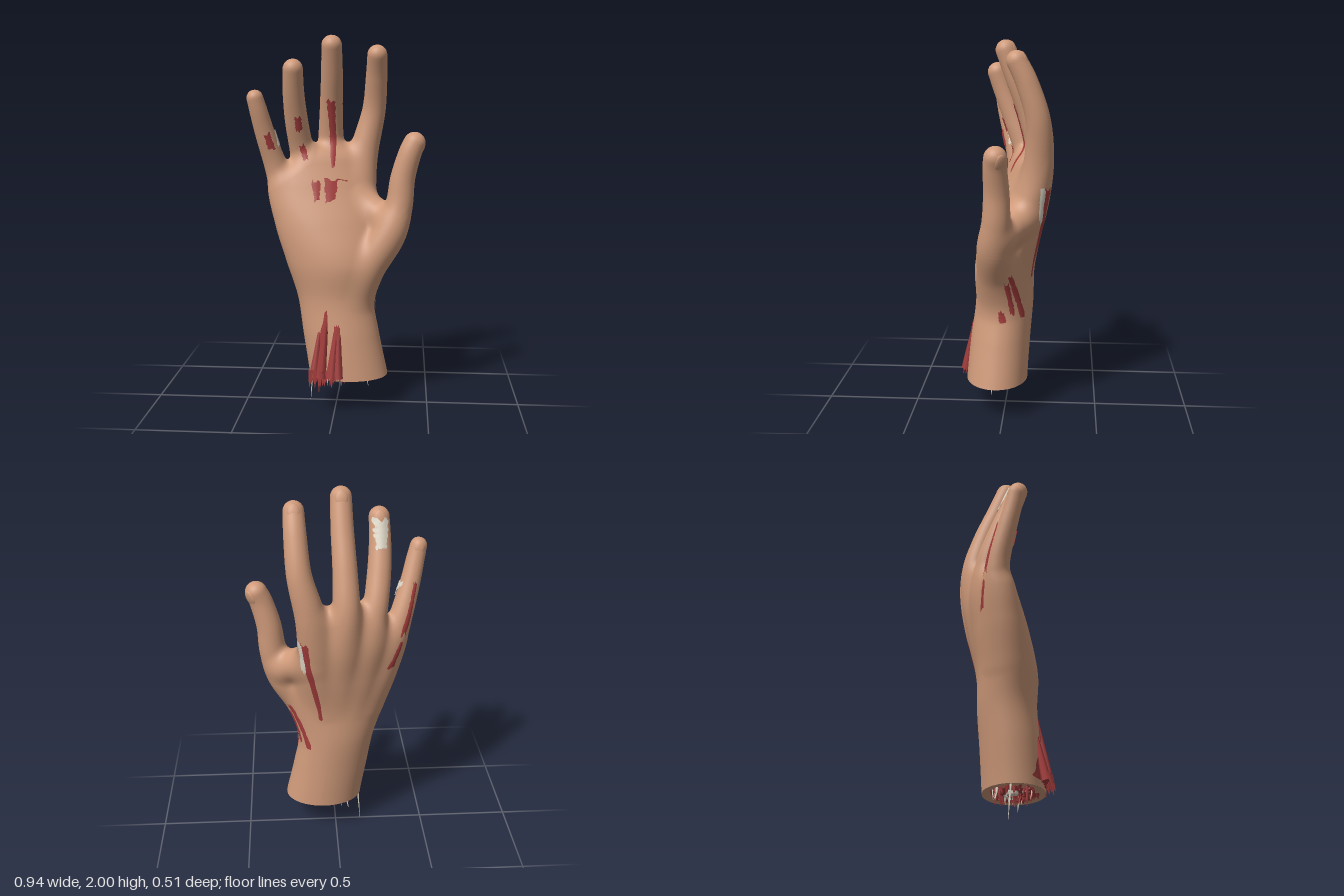
import * as THREE from 'three';
import { mergeGeometries } from 'three/addons/utils/BufferGeometryUtils.js';

const skin = new THREE.MeshStandardMaterial({ color: 0xcf9a7a });
skin.name = 'skin';
const flesh = new THREE.MeshStandardMaterial({ color: 0xa33d3c, side: THREE.DoubleSide });
flesh.name = 'flesh';
const bone = new THREE.MeshStandardMaterial({ color: 0xddd6c6, side: THREE.DoubleSide });
bone.name = 'bone';

const CUT = 0.18; // height of the severed wrist

let seed = 7;
const rand = () => (seed = (seed * 16807) % 2147483647) / 2147483647;
const V = (x, y, z) => new THREE.Vector3(x, y, z);

// Catmull-Rom interpolation of table rows
function spline(rows, t) {
  const n = rows.length - 1;
  const i = Math.max(0, Math.min(n - 1, Math.floor(t)));
  const u = Math.max(0, Math.min(1, t - i));
  const a = rows[Math.max(i - 1, 0)], b = rows[i], c = rows[i + 1], d = rows[Math.min(i + 2, n)];
  return b.map((v, k) => v + 0.5 * u * (c[k] - a[k] + u * (2 * a[k] - 5 * v + 4 * c[k] - d[k]
    + u * (3 * (v - c[k]) + d[k] - a[k]))));
}

// Wrist and palm sections every 0.2 in y: centre x, centre z, radius x, radius z, slant
const PALM = [
  [0.10, 0.05, 0.222, 0.168, 0], [0.065, 0.04, 0.213, 0.165, 0],
  [0.027, 0.025, 0.207, 0.162, 0], [-0.005, 0.005, 0.207, 0.157, 0],
  [-0.02, 0.005, 0.255, 0.162, 0], [-0.055, -0.035, 0.28, 0.15, -0.1],
  [-0.085, -0.085, 0.28, 0.117, -0.2], [-0.06, -0.125, 0.23, 0.075, -0.27],
];

// Digits from the palm outwards: x, y, z, radius
const DIGITS = {
  thumb: [[0.09, 0.6, 0.02, 0.1], [0.175, 0.78, 0.04, 0.096], [0.28, 0.95, 0.038, 0.092], [0.333, 1.1, 0.025, 0.074],
    [0.352, 1.25, 0.022, 0.066], [0.387, 1.38, 0.026, 0.061], [0.412, 1.44, 0.022, 0.058]],
  index: [[0.05, 0.8, -0.05, 0.08], [0.085, 1.0, -0.103, 0.086], [0.11, 1.2, -0.153, 0.086], [0.143, 1.4, -0.183, 0.077],
    [0.19, 1.6, -0.178, 0.064], [0.205, 1.78, -0.125, 0.058], [0.21, 1.897, -0.07, 0.053]],
  middle: [[0, 0.8, -0.05, 0.08], [-0.02, 1.0, -0.1, 0.085], [-0.035, 1.2, -0.152, 0.086], [-0.045, 1.4, -0.175, 0.072],
    [-0.04, 1.6, -0.13, 0.063], [-0.03, 1.8, -0.055, 0.058], [-0.027, 1.945, 0, 0.054]],
  ring: [[-0.08, 0.8, -0.04, 0.08], [-0.12, 1.0, -0.08, 0.08], [-0.165, 1.2, -0.108, 0.08], [-0.198, 1.38, -0.1, 0.066],
    [-0.22, 1.55, -0.043, 0.062], [-0.228, 1.7, 0.015, 0.057], [-0.225, 1.823, 0.06, 0.053]],
  little: [[-0.16, 0.8, -0.02, 0.08], [-0.235, 1.0, -0.04, 0.08], [-0.297, 1.18, -0.055, 0.072], [-0.34, 1.32, -0.048, 0.061],
    [-0.385, 1.48, -0.008, 0.053], [-0.413, 1.6, 0.024, 0.048], [-0.43, 1.672, 0.04, 0.044]],
};
const WEB = [[0.27, 1.02, -0.005, 0.08], [0.12, 1.1, -0.1, 0.09]];
const CHAINS = [...Object.values(DIGITS), WEB].map((rows) => {
  const n = (rows.length - 1) * 9;
  return Array.from({ length: n + 1 }, (_, i) => spline(rows, i / 9));
});

// Minimum with a rounded transition of width k
function softMin(a, b, k) {
  const h = Math.max(k - Math.abs(a - b), 0) / k;
  return Math.min(a, b) - h * h * k / 4;
}

function palmField(x, y, z) {
  const [cx, cz, rx, rz, slant] = spline(PALM, y / 0.2);
  const px = x - cx, pz = z - cz - slant * px;
  const k0 = Math.hypot(px / rx, pz / rz);
  const k1 = Math.hypot(px / rx ** 2, pz / rz ** 2) + 1e-6;
  const top = y - 1.42 - 0.7 * Math.min(0, x + 0.13);
  return -softMin(-k0 * (k0 - 1) / k1, -top, 0.1);
}

function chainField(chain, x, y, z) {
  let best = 9;
  for (let i = 0; i < chain.length - 1; i++) {
    const a = chain[i], b = chain[i + 1];
    const dx = b[0] - a[0], dy = b[1] - a[1], dz = b[2] - a[2];
    const qx = x - a[0], qy = y - a[1], qz = z - a[2];
    const h = Math.max(0, Math.min(1, (qx * dx + qy * dy + qz * dz) / (dx * dx + dy * dy + dz * dz)));
    const d = Math.sqrt((qx - h * dx) ** 2 + (qy - h * dy) ** 2 + (qz - h * dz) ** 2);
    best = Math.min(best, d - a[3] - h * (b[3] - a[3]));
  }
  return best;
}

// Signed distance to the skin: palm and digits softly joined
const field = (x, y, z) =>
  CHAINS.reduce((d, chain) => softMin(d, chainField(chain, x, y, z), 0.045), palmField(x, y, z));

function normalAt(p, e = 0.01) {
  return V(field(p.x + e, p.y, p.z) - field(p.x - e, p.y, p.z),
    field(p.x, p.y + e, p.z) - field(p.x, p.y - e, p.z),
    field(p.x, p.y, p.z + e) - field(p.x, p.y, p.z - e)).normalize();
}
const settle = (p) => p.addScaledVector(normalAt(p), -field(p.x, p.y, p.z));

function grid(positions, normals, index) {
  const g = new THREE.BufferGeometry();
  g.setAttribute('position', new THREE.Float32BufferAttribute(positions, 3));
  g.setIndex(index);
  if (normals) g.setAttribute('normal', new THREE.Float32BufferAttribute(normals, 3));
  else g.computeVertexNormals();
  return g;
}

// Meshes the zero level of the field on a regular grid, left open at the wrist
function skinGeometry() {
  const s = 0.0125, o = [-0.5, CUT, -0.31], n = [81, 150, 50];
  const step = [1, n[0], n[0] * n[1]];
  const val = new Float32Array(n[0] * n[1] * n[2]);
  const each = (m, fn) => {
    for (let k = 0; k < n[2] - m; k++) for (let j = 0; j < n[1] - m; j++) for (let i = 0; i < n[0] - m; i++)
      fn([i, j, k], i + j * step[1] + k * step[2]);
  };
  each(0, ([i, j, k], id) => { val[id] = field(o[0] + i * s, o[1] + j * s, o[2] + k * s); });
  const vertex = new Int32Array(val.length).fill(-1), pos = [], nor = [], index = [];
  each(1, (c, id) => {
    const sum = [0, 0, 0];
    let hits = 0;
    for (let q = 0; q < 8; q++) for (let a = 0; a < 3; a++) {
      if (q >> a & 1) continue;
      const off = [q & 1, q >> 1 & 1, q >> 2 & 1];
      const from = id + off[0] + off[1] * step[1] + off[2] * step[2];
      const v0 = val[from], v1 = val[from + step[a]];
      if ((v0 < 0) === (v1 < 0)) continue;
      off[a] = v0 / (v0 - v1);
      off.forEach((v, m) => { sum[m] += v; });
      hits++;
    }
    if (!hits) return;
    const p = settle(V(...sum.map((v, m) => o[m] + (c[m] + v / hits) * s)));
    if (c[1] === 0) p.y = CUT;
    vertex[id] = pos.length / 3;
    pos.push(...p);
    nor.push(...normalAt(p));
  });
  each(1, (c, id) => {
    for (let a = 0; a < 3; a++) {
      const b = (a + 1) % 3, d = (a + 2) % 3;
      if (!c[b] || !c[d] || (val[id] < 0) === (val[id + step[a]] < 0)) continue;
      const q = [id, id - step[b], id - step[b] - step[d], id - step[d]].map((v) => vertex[v]);
      if (val[id] >= 0) q.reverse();
      index.push(q[0], q[1], q[2], q[0], q[2], q[3]);
    }
  });
  return grid(pos, nor, index);
}

// Nearest skin point along a ray
function castOnSkin(p, dir) {
  const best = p.clone();
  let least = 9;
  for (let m = 0; m < 60 && least > 0.003; m++) {
    const f = field(p.x, p.y, p.z);
    if (f < least) { least = f; best.copy(p); }
    p.addScaledVector(dir, f * 0.6);
  }
  for (let m = 0; m < 4; m++) settle(best);
  return best;
}

// Thin ragged strip laid on the skin, seen from an angle about y; ends are [across, height]
function strip(angle, a, b, w0, w1 = w0) {
  const dir = V(-Math.sin(angle), 0, -Math.cos(angle)), right = V(Math.cos(angle), 0, -Math.sin(angle));
  const rows = 16, cols = 4, pos = [], index = [];
  for (let i = 0; i <= rows; i++) {
    const t = i / rows, w = (w0 + (w1 - w0) * t) * (0.8 + 0.35 * rand());
    for (let j = 0; j <= cols; j++) {
      const u = j / cols - 0.5, fray = (i === 0 || i === rows) ? (rand() - 0.5) * 0.03 : 0;
      const start = right.clone().multiplyScalar(a[0] + (b[0] - a[0]) * t + u * w).addScaledVector(dir, -0.6);
      start.y = a[1] + (b[1] - a[1]) * t + fray;
      const p = castOnSkin(start, dir);
      pos.push(...p.addScaledVector(normalAt(p), 0.004 + 0.004 * (0.5 - Math.abs(u))));
      if (i < rows && j < cols) {
        const q = i * (cols + 1) + j, r = q + cols + 1;
        index.push(q, r, q + 1, q + 1, r, r + 1);
      }
    }
  }
  return grid(pos, null, index);
}

// Tapered strand between two points
function strand(a, b, ra, rb, sides = 6) {
  const d = b.clone().sub(a), g = new THREE.CylinderGeometry(rb, ra, d.length(), sides);
  g.applyQuaternion(new THREE.Quaternion().setFromUnitVectors(V(0, 1, 0), d.clone().normalize()));
  const m = a.clone().add(b).multiplyScalar(0.5);
  return g.translate(m.x, m.y, m.z);
}

export function createModel() {
  const hand = new THREE.Group();
  hand.name = 'severedHand';
  const add = (name, geometry, material) => {
    const mesh = new THREE.Mesh(geometry, material);
    mesh.name = name;
    hand.add(mesh);
    return mesh;
  };
  add('handSkin', skinGeometry(), skin);

  // Nails: very shallow domes on the backs of the fingertips
  for (const [name, rows] of Object.entries(DIGITS)) {
    const [x, y, z, r] = rows.at(-1), prev = rows.at(-2);
    const along = V(x - prev[0], y - prev[1], z - prev[2]).normalize();
    const out = name === 'thumb' ? V(0.8, 0, -0.6) : V(0, 0, -1);
    out.addScaledVector(along, -out.dot(along)).normalize();
    const nail = add(name + 'Nail', new THREE.SphereGeometry(1, 16, 10).scale(r * 0.62, r * 0.85, r * 0.27), skin);
    nail.position.set(x, y, z).addScaledVector(out, r * 0.76).addScaledVector(along, -0.012);
    nail.quaternion.setFromRotationMatrix(new THREE.Matrix4().makeBasis(along.clone().cross(out), along, out));
  }

  // Torn wounds, grouped by the side they are laid on
  const S = Math.PI / 2, B = Math.PI * 0.75;
  const wounds = {
    palmWounds: [[0, [-0.11, 1.23], [-0.1, 1.13], 0.05, 0.025], [0, [-0.03, 1.235], [-0.03, 1.13], 0.075, 0.05],
      [0, [0.0, 1.24], [0.05, 1.23], 0.02]],
    fingerWounds: [[0, [-0.035, 1.66], [-0.022, 1.31], 0.045, 0.022], [0, [-0.205, 1.57], [-0.2, 1.5], 0.035],
      [0, [-0.19, 1.42], [-0.168, 1.34], 0.03], [0, [-0.368, 1.48], [-0.345, 1.4], 0.03, 0.04]],
    wristSideWounds: [[S, [0.04, 0.8], [0.1, 0.56], 0.025], [S, [0.02, 0.76], [0.05, 0.58], 0.025],
      [S, [-0.01, 0.59], [0, 0.53], 0.035]],
    wristFrontWounds: [[0, [-0.045, 0.52], [-0.09, 0.21], 0.02, 0.07], [0, [0.015, 0.47], [0.005, 0.21], 0.03, 0.075]],
    backWounds: [[B, [0.042, 1.25], [0.04, 0.76], 0.04, 0.02], [-B, [0.25, 1.5], [0.16, 1.24], 0.018, 0.03],
      [-B, [0.15, 1.19], [0.105, 1.05], 0.025, 0.035]],
  };
  for (const [name, list] of Object.entries(wounds))
    add(name, mergeGeometries(list.map((w) => strip(...w))), flesh);
  add('exposedBone', mergeGeometries([strip(B, [0.01, 1.25], [0.013, 1.07], 0.035),
    strip(-2.7, [0.212, 1.82], [0.185, 1.68], 0.075, 0.045), strip(0.7, [-0.245, 1.5], [-0.235, 1.42], 0.025)]), bone);

  // Tendons pulled out of the inner wrist
  add('wristTendons', mergeGeometries([
    strand(V(-0.042, 0.56, 0.15), V(-0.07, 0.2, 0.21), 0.012, 0.03),
    strand(V(-0.07, 0.5, 0.14), V(-0.11, 0.2, 0.195), 0.008, 0.025),
    strand(V(0.012, 0.48, 0.165), V(-0.015, 0.2, 0.215), 0.012, 0.032),
    strand(V(0.022, 0.48, 0.165), V(0.022, 0.2, 0.215), 0.012, 0.03),
    ...Array.from({ length: 18 }, (_, i) => {
      const x = -0.125 + i * 0.01, z = 0.18 + 0.045 * rand();
      return strand(V(x, 0.24, z), V(x - 0.005, 0.19 - 0.05 * rand(), z + 0.02), 0.012, 0.002, 5);
    }),
  ]), flesh);

  // Cut face with ragged flesh and bone splinters
  const [cx, cz, rx, rz] = spline(PALM, CUT / 0.2);
  const disc = (k, y) => new THREE.CircleGeometry(1, 48).rotateX(Math.PI / 2).scale(rx * k, 1, rz * k).translate(cx, y, cz);
  add('cutRim', disc(1, CUT), skin);
  const shreds = (count, r, length) => Array.from({ length: count }, () => {
    const a = rand() * Math.PI * 2, q = Math.sqrt(rand()) * 0.74;
    const x = cx - 0.035 + Math.cos(a) * rx * q, z = cz + Math.sin(a) * rz * q;
    const tip = V(x + (rand() - 0.5) * 0.03, CUT - 0.01 - length * rand() ** 3, z + (rand() - 0.5) * 0.03);
    return strand(V(x, CUT + 0.005, z), tip, r * (0.5 + rand()), 0.001, 5);
  });
  add('cutFlesh', mergeGeometries([disc(0.68, CUT - 0.004), ...shreds(110, 0.011, 0.045),
    strand(V(-0.09, 0.22, 0.1), V(-0.09, 0.08, 0.1), 0.012, 0.002)]), flesh);
  add('boneSplinters', mergeGeometries([...shreds(30, 0.007, 0.06),
    strand(V(0, 0.2, 0.03), V(0, 0.16, 0.03), 0.035, 0.03, 9),
    strand(V(0.12, 0.2, 0.05), V(0.12, 0.165, 0.05), 0.03, 0.025, 9),
    strand(V(-0.13, 0.19, 0.02), V(-0.145, 0, 0.005), 0.006, 0.001, 5)]), bone);

  return hand;
}
